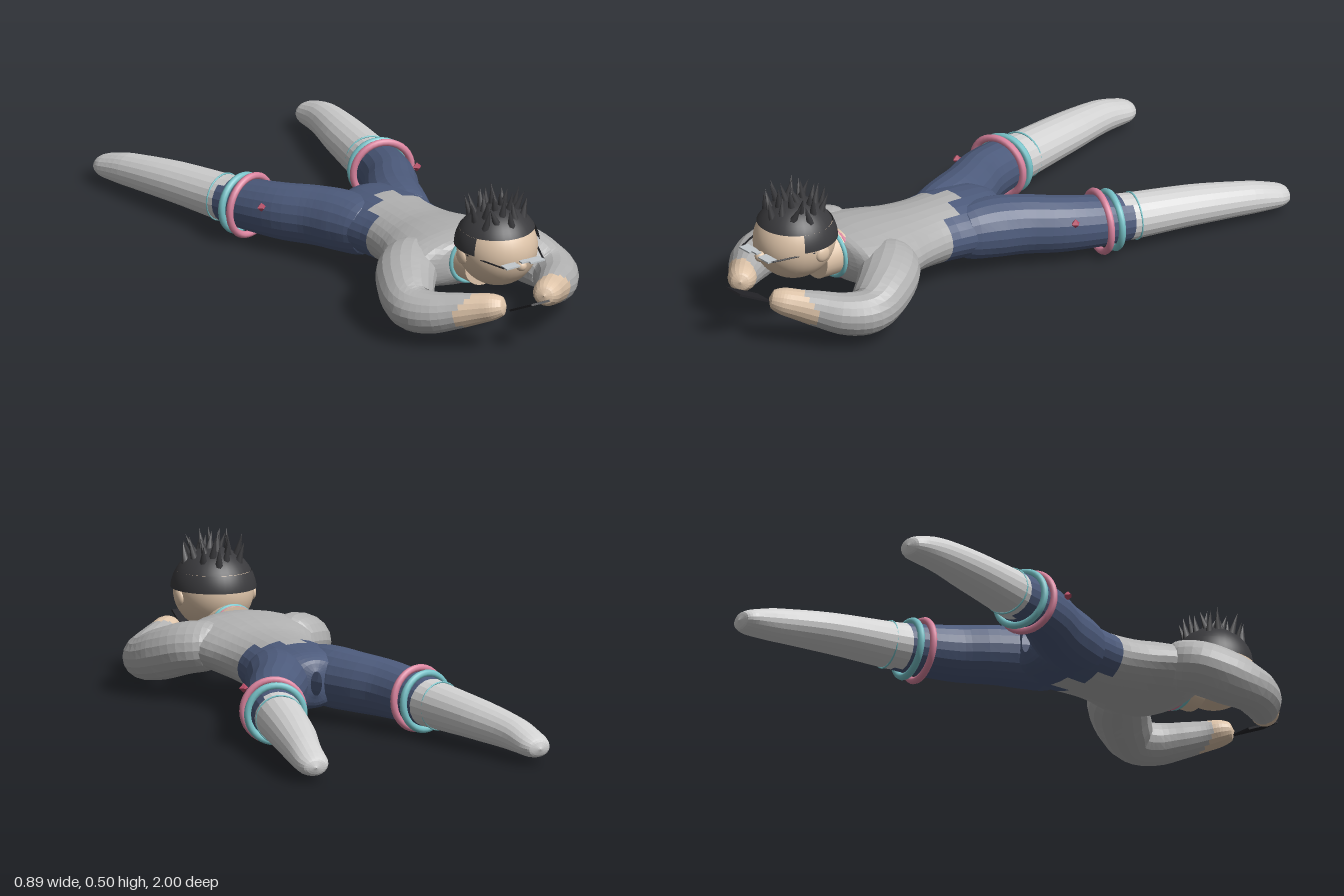
import * as THREE from 'three';

const mat = (name, color, side = THREE.FrontSide) => {
  const m = new THREE.MeshStandardMaterial({ color, side });
  m.name = name;
  return m;
};

export function createModel() {
  const model = new THREE.Group();
  model.name = 'lyingFigure';
  const shirt = mat('shirt grey', 0xb2b2b2), sock = mat('sock grey', 0xd2d2d2);
  const navy = mat('trouser navy', 0x4d5b7c), skin = mat('skin', 0xdfc5aa);
  const hair = mat('hair charcoal', 0x3a3a3d, THREE.DoubleSide), pink = mat('band pink', 0xdc85a0);
  const cyan = mat('band cyan', 0x78c4ca), frame = mat('glasses silver', 0xc2c8cc);
  const black = mat('device black', 0x242428), red = mat('stud red', 0xb84c66);

  const add = (name, geo, material, x = 0, y = 0, z = 0) => {
    const m = new THREE.Mesh(geo, material);
    m.name = name;
    m.position.set(x, y, z);
    model.add(m);
    return m;
  };

  // Faceted tube through sections [x, y, z, halfWidth, halfHeight]; rule(centre) picks a material index
  const loft = (name, sections, steps, sides, materials, rule) => {
    const path = new THREE.CatmullRomCurve3(sections.map(s => new THREE.Vector3(s[0], s[1], s[2])));
    const size = new THREE.CatmullRomCurve3(sections.map(s => new THREE.Vector3(s[3], s[4], 0)), false, 'catmullrom', 0.4);
    const rings = [];
    for (let i = 0; i <= steps; i++) {
      const c = path.getPoint(i / steps), r = size.getPoint(i / steps), t = path.getTangent(i / steps);
      const side = new THREE.Vector3(0, 1, 0).cross(t).normalize();
      const up = t.clone().cross(side);
      rings.push(Array.from({ length: sides }, (_, j) => {
        const a = (j / sides) * Math.PI * 2;
        return c.clone().addScaledVector(side, Math.cos(a) * Math.max(r.x, 0.001))
          .addScaledVector(up, Math.sin(a) * Math.max(r.y, 0.001));
      }));
    }
    const buckets = materials.map(() => []);
    for (let i = 0; i < steps; i++) {
      for (let j = 0; j < sides; j++) {
        const k = (j + 1) % sides;
        const a = rings[i][j], b = rings[i][k], c = rings[i + 1][k], d = rings[i + 1][j];
        const mid = a.clone().add(b).add(c).add(d).multiplyScalar(0.25);
        for (const p of [a, b, c, a, c, d]) buckets[rule(mid)].push(p.x, p.y, p.z);
      }
    }
    const geo = new THREE.BufferGeometry();
    geo.setAttribute('position', new THREE.Float32BufferAttribute(buckets.flat(), 3));
    let start = 0;
    buckets.forEach((b, i) => {
      geo.addGroup(start, b.length / 3, i);
      start += b.length / 3;
    });
    geo.computeVertexNormals();
    return add(name, geo, materials);
  };

  // Stepped hem of the shirt, then trousers, then socks
  const clothes = p => {
    const x = Math.abs(p.x);
    const hem = x < 0.05 ? 0.07 : x < 0.1 ? 0.13 : 0.195;
    return p.z > hem ? 0 : p.z > -0.4 ? 1 : 2;
  };
  const cloth = [shirt, navy, sock];

  loft('torso', [
    [0, 0.143, -0.09, 0.02, 0.04], [0, 0.143, -0.075, 0.09, 0.075], [0, 0.143, -0.03, 0.15, 0.094],
    [0, 0.144, 0.03, 0.175, 0.1], [0, 0.148, 0.1, 0.165, 0.101], [0, 0.153, 0.2, 0.152, 0.098],
    [0, 0.162, 0.3, 0.17, 0.094], [0, 0.174, 0.4, 0.208, 0.095], [0, 0.184, 0.5, 0.235, 0.092],
    [0, 0.19, 0.56, 0.19, 0.08], [0, 0.19, 0.585, 0.09, 0.06], [0, 0.19, 0.59, 0.001, 0.001],
  ], 33, 28, cloth, clothes);

  for (const s of [1, -1]) {
    const side = s > 0 ? 'left' : 'right';
    const mirror = list => list.map(([x, ...rest]) => [x * s, ...rest]);

    loft(side + 'Leg', mirror([
      [0.07, 0.147, 0.14, 0.01, 0.01], [0.08, 0.146, 0.1, 0.08, 0.085], [0.1, 0.143, 0, 0.102, 0.1],
      [0.145, 0.138, -0.1, 0.094, 0.098], [0.205, 0.13, -0.2, 0.088, 0.094], [0.25, 0.12, -0.32, 0.085, 0.086],
      [0.275, 0.112, -0.42, 0.081, 0.077], [0.327, 0.1, -0.65, 0.074, 0.066], [0.375, 0.081, -0.85, 0.059, 0.054],
      [0.39, 0.064, -0.95, 0.054, 0.04], [0.395, 0.059, -0.985, 0.038, 0.028], [0.396, 0.058, -0.996, 0.001, 0.001],
    ]), 44, 20, cloth, clothes);

    loft(side + 'Arm', mirror([
      [0.1, 0.182, 0.4, 0.01, 0.01], [0.13, 0.182, 0.44, 0.08, 0.075], [0.19, 0.172, 0.5, 0.1, 0.085],
      [0.245, 0.142, 0.58, 0.092, 0.085], [0.272, 0.118, 0.655, 0.078, 0.074], [0.245, 0.117, 0.72, 0.07, 0.07],
      [0.185, 0.134, 0.79, 0.057, 0.06], [0.135, 0.15, 0.845, 0.048, 0.05], [0.105, 0.159, 0.875, 0.046, 0.044],
      [0.08, 0.165, 0.9, 0.032, 0.03], [0.072, 0.167, 0.908, 0.001, 0.001],
    ]), 40, 18, [shirt, skin], p => (p.z > 0.83 ? 1 : 0));

    // Bands around the lower thigh, and the thin sock trim
    const band = (name, m, r, tube, x, y, z) => {
      add(side + name, new THREE.TorusGeometry(r, tube, 8, 36), m, x * s, y, z).rotation.y = -0.26 * s;
    };
    band('PinkBand', pink, 0.099, 0.012, 0.255, 0.118, -0.325);
    band('CyanBand', cyan, 0.092, 0.012, 0.264, 0.114, -0.367);
    band('SockTrim', cyan, 0.078, 0.003, 0.282, 0.111, -0.445);

    // Trouser stud
    add(side + 'Stud', new THREE.OctahedronGeometry(0.016), red, 0.3 * s, 0.17, -0.19);

    // Ear, eye and glasses
    add(side + 'Ear', new THREE.SphereGeometry(0.027, 16, 12), skin, 0.127 * s, 0.29, 0.728).scale.x = 0.5;
    add(side + 'Eye', new THREE.SphereGeometry(0.012, 12, 8), black, 0.054 * s, 0.297, 0.858).scale.set(0.6, 1, 0.5);
    add(side + 'Lens', new THREE.BoxGeometry(0.053, 0.005, 0.036), frame, 0.047 * s, 0.295, 0.894);
    const from = new THREE.Vector3(0.128 * s, 0.305, 0.76), to = new THREE.Vector3(0.075 * s, 0.295, 0.9);
    add(side + 'Temple', new THREE.TubeGeometry(new THREE.LineCurve3(from, to), 1, 0.003, 6), black);
  }

  // Neck and collar rings
  const neck = add('neck', new THREE.CylinderGeometry(0.07, 0.075, 0.1, 24), skin, 0, 0.205, 0.61);
  neck.rotation.x = Math.PI / 2;
  add('pinkCollar', new THREE.TorusGeometry(0.077, 0.008, 8, 36), pink, 0, 0.195, 0.57);
  add('cyanCollar', new THREE.TorusGeometry(0.076, 0.008, 8, 36), cyan, 0, 0.2, 0.588);

  // Head and face
  const hx = 0, hy = 0.305, hz = 0.742;
  add('head', new THREE.SphereGeometry(0.13, 32, 24), skin, hx, hy, hz).scale.z = 1.06;
  add('nose', new THREE.SphereGeometry(0.018, 16, 12), skin, 0, 0.283, 0.885);
  add('glassesBridge', new THREE.BoxGeometry(0.026, 0.005, 0.02), frame, 0, 0.303, 0.9);

  // Hair cap with a high fringe and a lower back
  add('hairTop', new THREE.SphereGeometry(0.139, 32, 14, 0, Math.PI * 2, 0, 1.08), hair, hx, hy, hz);
  add('hairBack', new THREE.SphereGeometry(0.139, 28, 6, Math.PI - 0.42, Math.PI + 0.84, 1.08, 0.42), hair, hx, hy, hz)
    .scale.z = 1.04;

  // Hair spikes scattered over the crown
  let seed = 7;
  const rand = () => (seed = (seed * 16807) % 2147483647) / 2147483647;
  const spikes = 24;
  for (let i = 0; i < spikes; i++) {
    const a = i * 2.4, tilt = 0.8 * Math.sqrt((i + 0.5) / spikes);
    const root = new THREE.Vector3(Math.sin(tilt) * Math.cos(a), Math.cos(tilt), Math.sin(tilt) * Math.sin(a));
    const dir = new THREE.Vector3(root.x * 0.3 + (rand() - 0.5) * 0.7, 1, root.z * 0.3 + (rand() - 0.5) * 0.7).normalize();
    const length = 0.06 + rand() * 0.022;
    const geo = new THREE.ConeGeometry(0.014, length, 6).translate(0, length / 2 - 0.008, 0);
    const spike = add('hairSpike', geo, hair, hx + root.x * 0.136, hy + root.y * 0.136, hz + root.z * 0.136);
    spike.quaternion.setFromUnitVectors(new THREE.Vector3(0, 1, 0), dir);
  }

  // Handheld device, tilted between the hands
  add('device', new THREE.BoxGeometry(0.07, 0.007, 0.145), black, 0, 0.16, 0.934).rotation.x = -0.47;

  return model;
}
